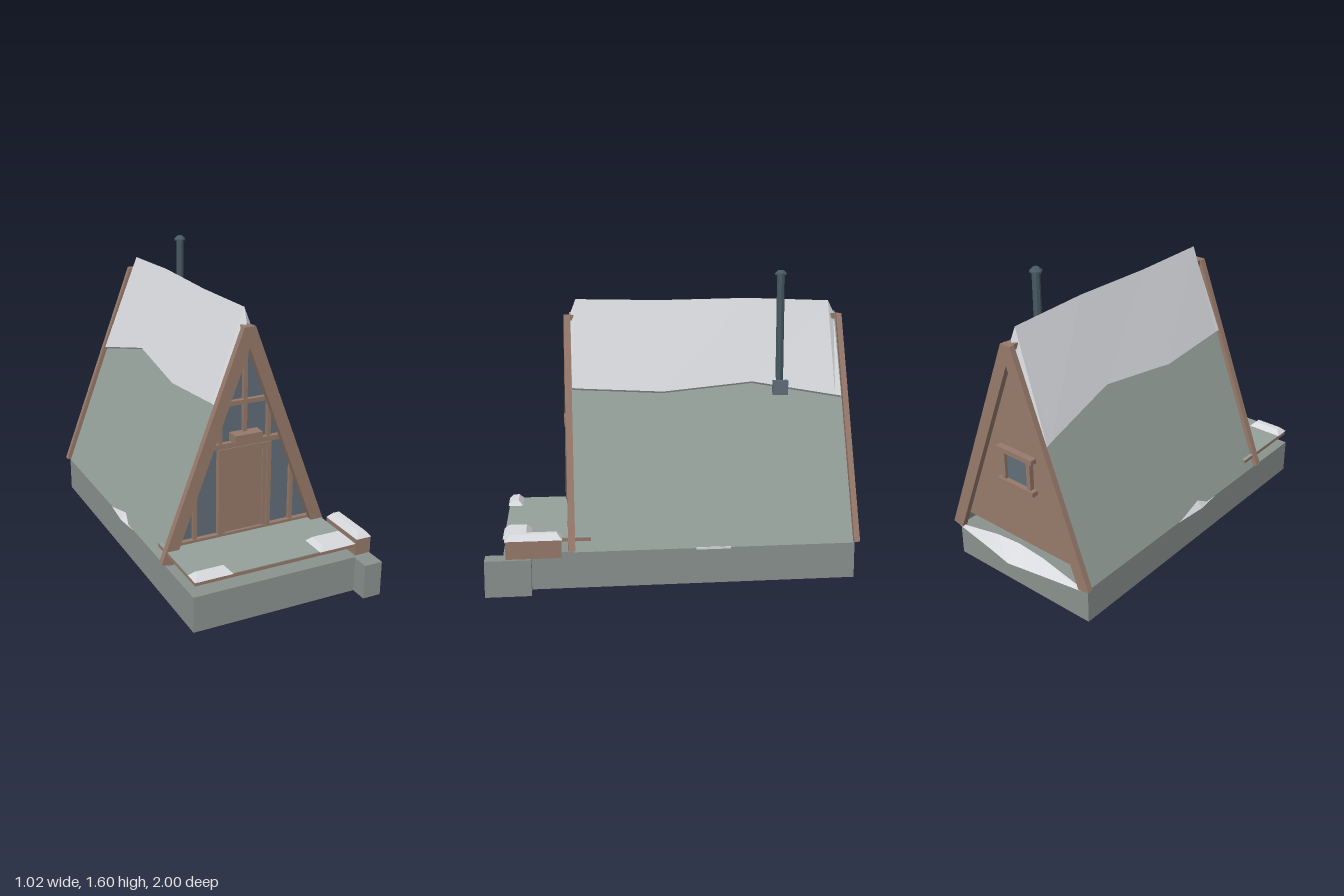
import * as THREE from 'three';

const CX = -0.035;   // house centre line
const SLOPE = 2.61;  // rise of the roof per unit of half width
const halfAt = (apex, y) => (apex - y) / SLOPE;

const material = (name, color, double = true) => {
  const m = new THREE.MeshStandardMaterial({ color });
  m.name = name;
  m.flatShading = true;
  if (double) m.side = THREE.DoubleSide;
  return m;
};

export function createModel() {
  const model = new THREE.Group();
  model.name = 'cabin';
  const wood = material('wood', 0x977a6b);
  const roofing = material('roofing', 0x95a19b);
  const stone = material('stone', 0x8b938f);
  const snow = material('snow', 0xd8dade);
  const glass = material('glass', 0x626f79);
  const metal = material('metal', 0x475a62);

  const add = (name, geometry, mat, parent = model) => {
    const mesh = new THREE.Mesh(geometry, mat);
    mesh.name = name;
    parent.add(mesh);
    return mesh;
  };
  const box = (name, mat, x0, x1, y0, y1, z0, z1) => {
    const g = new THREE.BoxGeometry(x1 - x0, y1 - y0, z1 - z0);
    g.translate((x0 + x1) / 2, (y0 + y1) / 2, (z0 + z1) / 2);
    return add(name, g, mat);
  };
  // Flat outline pushed along z
  const plate = (name, mat, points, z0, z1, hole) => {
    const shape = new THREE.Shape(points.map(p => new THREE.Vector2(...p)));
    if (hole) shape.holes.push(new THREE.Path(hole.map(p => new THREE.Vector2(...p))));
    const g = new THREE.ExtrudeGeometry(shape, { depth: z1 - z0, bevelEnabled: false });
    g.translate(0, 0, z0);
    return add(name, g, mat);
  };
  // Surface through rows of points
  const loft = (name, mat, rows) => {
    const n = rows[0].length, index = [];
    for (let r = 0; r < rows.length - 1; r++)
      for (let i = 0; i < n - 1; i++) {
        const a = r * n + i, b = a + n;
        index.push(a, b, a + 1, a + 1, b, b + 1);
      }
    let g = new THREE.BufferGeometry();
    g.setAttribute('position', new THREE.Float32BufferAttribute(rows.flat(2), 3));
    g.setIndex(index);
    g = g.toNonIndexed();
    g.computeVertexNormals();
    return add(name, g, mat);
  };
  // Snow block with a narrower top
  const snowBlock = (name, x0, x1, y0, y1, z0, z1, inset) => {
    const mesh = box(name, snow, x0, x1, y0, y1, z0, z1);
    const p = mesh.geometry.attributes.position;
    for (let i = 0; i < p.count; i++) {
      if (p.getY(i) < (y0 + y1) / 2) continue;
      p.setX(i, p.getX(i) + (p.getX(i) < (x0 + x1) / 2 ? inset : -inset));
      p.setZ(i, p.getZ(i) + (p.getZ(i) < (z0 + z1) / 2 ? inset : -inset));
    }
    mesh.geometry.computeVertexNormals();
  };

  // Foundation, open underneath
  const foundation = box('foundation', stone, -0.49, 0.41, 0, 0.19, -0.91, 0.91).geometry;
  foundation.setIndex([...foundation.index.array].filter((v, i) => i < 18 || i >= 24));
  foundation.clearGroups();
  box('cornerBlock', stone, 0.41, 0.51, 0, 0.185, 0.77, 1.0);

  // Porch deck with a thin top layer
  box('deck', wood, -0.48, 0.41, 0.245, 0.262, 0.47, 0.905);
  box('deckTop', roofing, -0.48, 0.41, 0.262, 0.266, 0.47, 0.905);
  box('woodBox', wood, 0.42, 0.508, 0.19, 0.28, 0.62, 0.895);
  snowBlock('woodBoxSnow', 0.422, 0.508, 0.28, 0.31, 0.615, 0.9, 0.025);
  snowBlock('deckSnowLeft', 0.2, 0.405, 0.266, 0.292, 0.77, 0.912, 0.025);
  snowBlock('deckSnowRight', -0.482, -0.28, 0.266, 0.292, 0.83, 0.912, 0.025);

  // Roof panels
  const ro = halfAt(1.378, 0.19), ri = halfAt(1.325, 0.19);
  plate('roof', roofing, [
    [CX - ro, 0.19], [CX, 1.378], [CX + ro, 0.19],
    [CX + ri, 0.19], [CX, 1.325], [CX - ri, 0.19],
  ], -0.9, 0.555);

  // Barge boards at both ends
  const bo = halfAt(1.443, 0.2), bi = halfAt(1.26, 0.185), bt = halfAt(1.443, 1.365);
  for (const [name, z0, z1] of [['frontBargeBoards', 0.55, 0.585], ['backBargeBoards', -0.93, -0.9]]) {
    plate(name, wood, [
      [CX - bo, 0.2], [CX - bt, 1.365], [CX + bt, 1.365], [CX + bo, 0.2],
      [CX + bi, 0.185], [CX, 1.26], [CX - bi, 0.185],
    ], z0, z1);
  }
  box('ridgeEndFront', wood, CX - 0.025, CX + 0.025, 1.335, 1.365, 0.52, 0.585);
  box('ridgeEndBack', wood, CX - 0.025, CX + 0.025, 1.335, 1.365, -0.93, -0.87);

  // Gable walls
  const gable = () => [[CX - halfAt(1.32, 0.266), 0.266], [CX + halfAt(1.32, 0.266), 0.266], [CX, 1.32]];
  plate('frontGlass', glass, gable(), 0.515, 0.524);
  plate('backWall', wood, gable(), -0.885, -0.86);

  // Front framing: beams, posts and mullions
  for (const [y0, y1] of [[0.266, 0.28], [0.745, 0.772], [0.965, 0.988]]) {
    const h = halfAt(1.3, y1);
    box('frontBeam', wood, CX - h, CX + h, y0, y1, 0.524, 0.55);
  }
  box('centreMullion', wood, CX - 0.01, CX + 0.01, 0.77, 1.27, 0.524, 0.548);
  for (const s of [-1, 1]) {
    const post = (name, d, w, y0, y1, z1) =>
      box(name, wood, CX + s * d - w / 2, CX + s * d + w / 2, y0, y1, 0.524, z1);
    post('upperPost', 0.136, 0.02, 0.77, 0.965, 0.546);
    post('sidePost', 0.275, 0.02, 0.27, 0.59, 0.546);
    post('doorPost', 0.137, 0.022, 0.27, 0.745, 0.555);
    post('doorFrame', 0.115, 0.022, 0.27, 0.74, 0.545);
  }
  box('doorLintel', wood, CX - 0.135, CX + 0.135, 0.715, 0.745, 0.524, 0.555);
  box('door', wood, CX - 0.105, CX + 0.105, 0.266, 0.715, 0.524, 0.536);
  box('flowerBox', wood, CX - 0.077, CX + 0.077, 0.775, 0.82, 0.524, 0.59);

  // Back window
  box('backWindow', glass, CX - 0.075, CX + 0.075, 0.61, 0.77, -0.893, -0.885);
  for (const s of [-1, 1]) {
    box('windowJamb', wood, CX + s * 0.085 - 0.012, CX + s * 0.085 + 0.012, 0.6, 0.78, -0.91, -0.885);
    box('windowRail', wood, CX - 0.12, CX + 0.12, 0.69 + s * 0.09 - 0.013, 0.69 + s * 0.09 + 0.013, -0.92, -0.885);
  }

  // Snow over the ridge: z, apex, left edge height, right edge height
  const stations = [
    [0.548, 1.375, 0.98, 0.97], [0.52, 1.447, 0.977, 0.97], [0.07, 1.44, 0.955, 0.94],
    [-0.41, 1.45, 1.0, 1.0], [-0.86, 1.435, 0.925, 0.89], [-0.893, 1.372, 0.92, 0.88],
  ];
  const ridgeRows = stations.map(([z, apex, l, r]) => {
    const inner = y => halfAt(1.37, y), outer = y => halfAt(1.37, y) + 0.018;
    return [
      [CX - inner(r), r, z], [CX - outer(r), r + 0.012, z], [CX, apex, z],
      [CX + outer(l), l + 0.012, z], [CX + inner(l), l, z],
    ];
  });
  loft('roofSnow', snow, ridgeRows);
  for (const row of [ridgeRows[0], ridgeRows[ridgeRows.length - 1]]) {
    const z = row[0][2];
    loft('roofSnowEnd', snow, [[row[0], [CX, 1.36, z], row[4]], [row[1], row[2], row[3]]]);
  }

  // Snow drift behind the back wall
  const drift = [[-0.46, 0.19, -0.93], [-0.2, 0.248, -0.972], [CX, 0.262, -1], [0.12, 0.248, -0.972], [0.39, 0.19, -0.93]];
  loft('backDrift', snow, [
    drift.map(([x, y]) => [x, y, -0.915]),
    drift.map(([x, , z]) => [x, 0.187, z]),
  ]);
  // Small drifts along the eaves
  loft('rightDrift', snow, [
    [[-0.475, 0.19, -0.18], [-0.47, 0.235, 0.01], [-0.475, 0.19, 0.16]],
    [[-0.49, 0.188, -0.18], [-0.505, 0.188, 0.01], [-0.49, 0.188, 0.16]],
  ]);
  box('leftDrift', snow, 0.405, 0.424, 0.183, 0.194, -0.25, -0.07);

  // Stove pipe
  box('pipeFlashing', glass, 0.1, 0.157, 0.94, 1.018, -0.6, -0.52);
  const pipe = (name, r0, r1, y0, y1) => {
    const g = new THREE.CylinderGeometry(r1, r0, y1 - y0, 8);
    g.translate(0.115, (y0 + y1) / 2, -0.56);
    add(name, g, metal);
  };
  pipe('stovePipe', 0.021, 0.021, 0.95, 1.578);
  pipe('pipeCapRim', 0.033, 0.033, 1.575, 1.583);
  pipe('pipeCap', 0.033, 0.016, 1.583, 1.6);

  return model;
}
